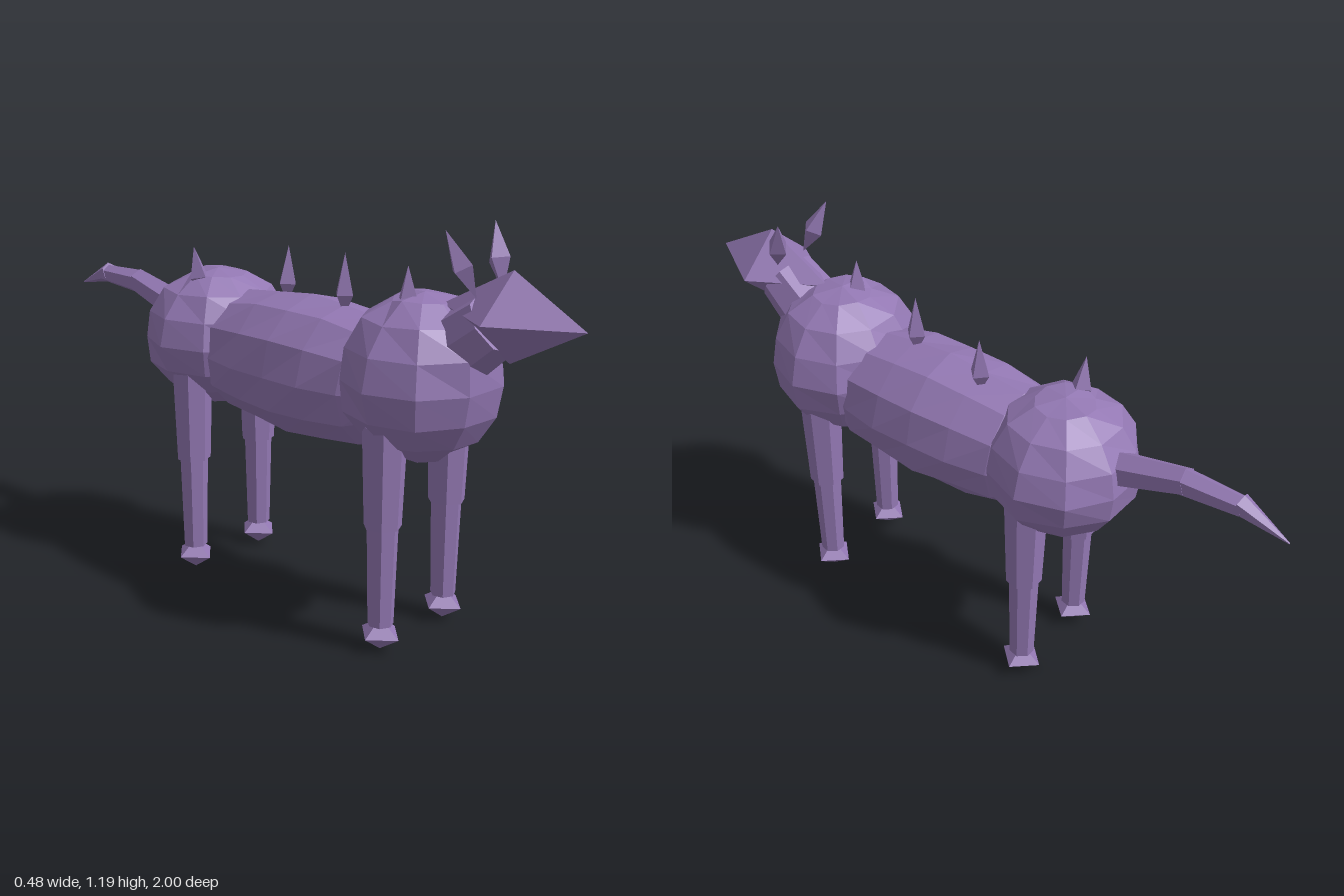
import * as THREE from 'three';

const purple = new THREE.MeshStandardMaterial({ color: 0x9378b3 });
purple.name = 'purple hide';

const V = (x, y, z) => new THREE.Vector3(x, y, z);

// Faceted mesh: every face keeps its own normal
function facet(name, geometry) {
  const g = geometry.index ? geometry.toNonIndexed() : geometry;
  g.computeVertexNormals();
  const mesh = new THREE.Mesh(g, purple);
  mesh.name = name;
  return mesh;
}

// Slight rule-based unevenness, equal for coincident points
function roughen(geometry, amount) {
  const p = geometry.attributes.position;
  for (let i = 0; i < p.count; i++) {
    const x = p.getX(i), y = p.getY(i), z = p.getZ(i);
    const k = 1 + amount * Math.sin(31 * x + 17 * y + 1) * Math.cos(23 * z - 13 * x + 11 * y);
    p.setXYZ(i, x * k, y * k, z * k);
  }
  return geometry;
}

// Tapered prism between two points
function limb(name, a, b, ra, rb, sides = 7) {
  const d = b.clone().sub(a);
  const mesh = facet(name, new THREE.CylinderGeometry(rb, ra, d.length(), sides));
  mesh.position.copy(a).add(b).multiplyScalar(0.5);
  mesh.quaternion.setFromUnitVectors(V(0, 1, 0), d.normalize());
  return mesh;
}

// Stretched octahedron
function diamond(name, pos, rx, ry, rz) {
  const mesh = facet(name, new THREE.OctahedronGeometry(1).scale(rx, ry, rz));
  mesh.position.copy(pos);
  return mesh;
}

// Four-sided spike: short root below its widest point, long tip above
function spike(name, root, tip, r, waist) {
  const len = root.distanceTo(tip);
  const profile = [[0, 0], [r, len * waist], [0, len]].map(([x, y]) => new THREE.Vector2(x, y));
  const mesh = facet(name, new THREE.LatheGeometry(profile, 4));
  mesh.position.copy(root);
  mesh.quaternion.setFromUnitVectors(V(0, 1, 0), tip.clone().sub(root).normalize());
  return mesh;
}

export function createModel() {
  const model = new THREE.Group();
  model.name = 'spinedQuadruped';

  // Torso
  const ball = (name, pos, rx, ry, rz) => {
    const g = roughen(new THREE.SphereGeometry(1, 10, 8), 0.035).scale(rx, ry, rz);
    const mesh = facet(name, g);
    mesh.position.copy(pos);
    model.add(mesh);
  };
  ball('chest', V(0, 0.767, 0.5), 0.235, 0.23, 0.23);
  ball('hips', V(0, 0.735, -0.31), 0.228, 0.207, 0.23);

  const barrelProfile = [[0, -0.42], [0.12, -0.38], [0.178, -0.26], [0.197, -0.13], [0.206, 0],
    [0.2, 0.13], [0.18, 0.26], [0.12, 0.38], [0, 0.42]].map(([r, y]) => new THREE.Vector2(r, y));
  const barrel = facet('barrel', roughen(new THREE.LatheGeometry(barrelProfile, 12).rotateX(Math.PI / 2), 0.02));
  barrel.position.set(0, 0.716, 0.09);
  model.add(barrel);

  // Neck and head
  model.add(limb('neck', V(0, 0.79, 0.52), V(0, 0.955, 0.735), 0.115, 0.09, 8));
  model.add(diamond('head', V(0, 0.975, 0.78), 0.132, 0.12, 0.22));

  // Ears and legs, mirrored
  for (const s of [-1, 1]) {
    const side = s > 0 ? 'left' : 'right';
    model.add(spike(side + 'Ear', V(s * 0.055, 1.02, 0.71), V(s * 0.102, 1.19, 0.642), 0.034, 0.45));
    for (const [end, z] of [['Front', 0.49], ['Back', -0.285]]) {
      const x = s * 0.137;
      const leg = new THREE.Group();
      leg.name = side + end + 'Leg';
      leg.add(limb('upperLeg', V(x, 0.37, z), V(x, 0.66, z), 0.053, 0.063));
      leg.add(limb('lowerLeg', V(x, 0.08, z), V(x, 0.39, z), 0.037, 0.045));
      leg.add(diamond('foot', V(x, 0.05, z), 0.062, 0.047, 0.067));
      model.add(leg);
    }
  }

  // Back spines: root x, y, z and tip x, y
  const spines = [
    [-0.04, 0.93, 0.48, -0.046, 1.07],
    [0, 0.88, 0.215, 0, 1.06],
    [0.033, 0.87, -0.045, 0.04, 1.04],
    [-0.075, 0.88, -0.305, -0.1, 1.02],
  ];
  for (const [x, y, z, tx, ty] of spines) {
    model.add(spike('backSpine', V(x, y, z), V(tx, ty, z), 0.032, 0.35));
  }

  // Tail
  model.add(limb('tailBase', V(0, 0.775, -0.45), V(0, 0.842, -0.7), 0.055, 0.04, 6));
  model.add(limb('tailMiddle', V(0, 0.838, -0.68), V(0, 0.84, -0.865), 0.04, 0.029, 6));
  model.add(limb('tailTip', V(0, 0.847, -0.85), V(0, 0.79, -1), 0.032, 0.002, 6));

  return model;
}
